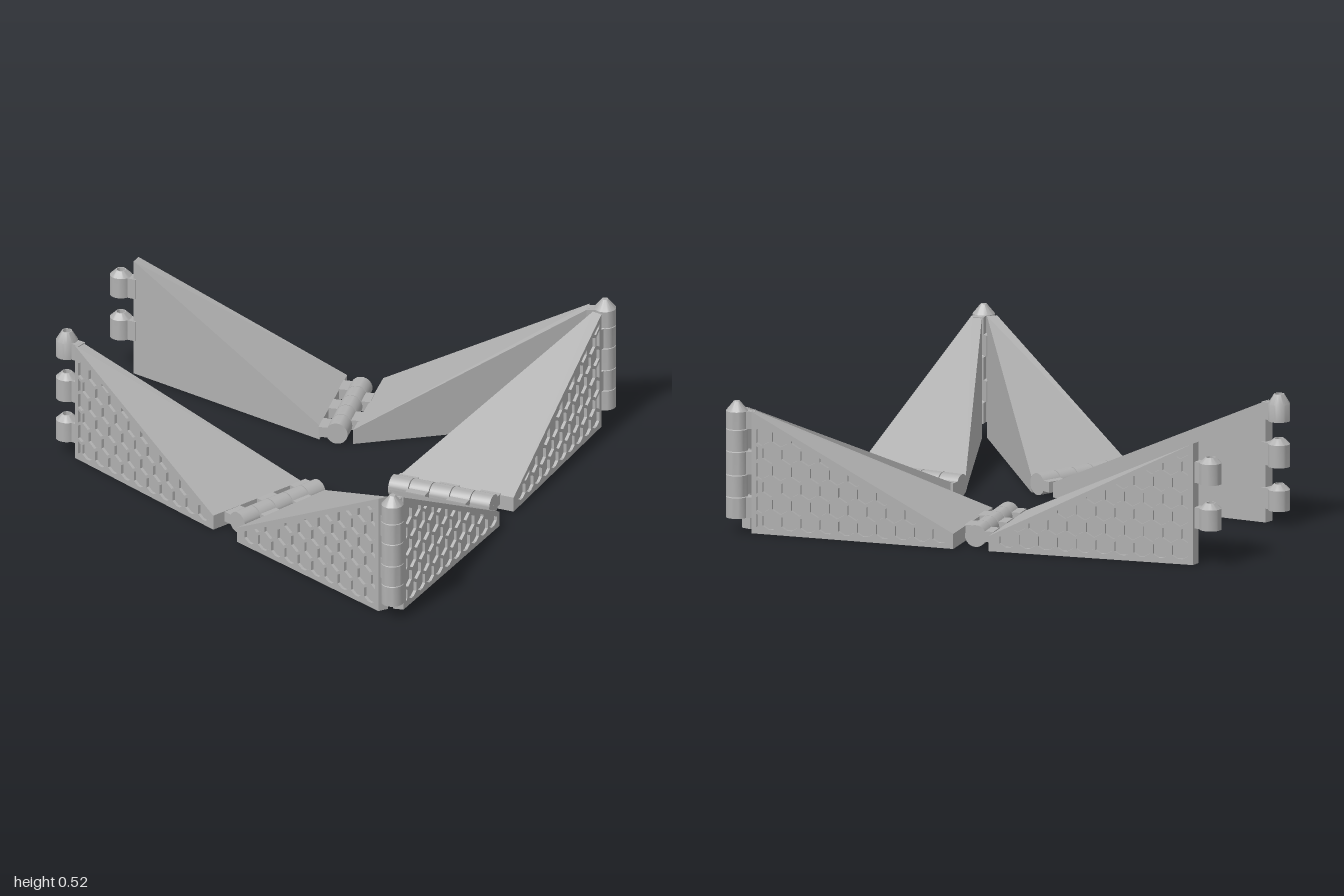
import * as THREE from 'three';
import { mergeGeometries, toCreasedNormals } from 'three/addons/utils/BufferGeometryUtils.js';

const grey = new THREE.MeshStandardMaterial({ color: 0xb0b0b0 });
grey.name = 'plain grey';

const V = (x, y, z) => new THREE.Vector3(x, y, z);
const R = 0.043, KNUCKLES = 5, TOP = 0.48, LOW = 0.06;

function fromTriangles(points) {
  const g = new THREE.BufferGeometry().setFromPoints(points);
  g.computeVertexNormals();
  return g;
}

// Put a four-sided face in outward order, keeping the first edge as its base
function orient([a, b, c, d], centre) {
  const n = b.clone().sub(a).cross(c.clone().sub(a));
  return n.dot(centre.clone().sub(a)) > 0 ? [b, a, d, c] : [a, b, c, d];
}

function plainFace(corners, centre) {
  const [a, b, c, d] = orient(corners, centre);
  return fromTriangles([a, b, c, a, c, d]);
}

// Keep the part of a polygon lying at least `margin` inside a convex outline
function clip(poly, outline, margin) {
  outline.forEach((p, i) => {
    const e = outline[(i + 1) % outline.length].clone().sub(p).normalize();
    const dist = q => e.x * (q.y - p.y) - e.y * (q.x - p.x) - margin;
    const out = [];
    poly.forEach((q, j) => {
      const r = poly[(j + 1) % poly.length], dq = dist(q), dr = dist(r);
      if (dq >= 0) out.push(q);
      if ((dq > 0 && dr < 0) || (dq < 0 && dr > 0)) out.push(q.clone().lerp(r, dq / (dq - dr)));
    });
    poly = out;
  });
  return poly;
}

// Face with a honeycomb of shallow pockets
function honeycombFace(corners, centre) {
  const pitch = 0.077, row = pitch * 0.866, radius = 0.0375, depth = 0.012;
  const [a, b, c, d] = orient(corners, centre);
  const U = b.clone().sub(a).normalize();
  const N = U.clone().cross(c.clone().sub(a)).normalize();
  const W = N.clone().cross(U);
  const outline = [a, b, c, d].map(p => {
    const q = p.clone().sub(a);
    return new THREE.Vector2(q.dot(U), q.dot(W));
  });
  const shape = new THREE.Shape(outline), pockets = [];
  for (let j = 0; j < 10; j++) {
    for (let i = -2; i < 18; i++) {
      const cx = (i + (j % 2) / 2) * pitch, cy = 0.052 + j * row;
      const hex = Array.from({ length: 6 }, (_, k) => {
        const t = Math.PI / 6 + k * Math.PI / 3;
        return new THREE.Vector2(cx + radius * Math.cos(t), cy + radius * Math.sin(t));
      });
      const cell = clip(hex, outline, 0.02);
      if (cell.length < 3 || THREE.ShapeUtils.area(cell) < 0.0003) continue;
      shape.holes.push(new THREE.Path(cell));
      const up = cell.map(p => V(p.x, p.y, 0)), down = cell.map(p => V(p.x, p.y, -depth));
      cell.forEach((_, k) => {
        const m = (k + 1) % cell.length;
        pockets.push(up[k], up[m], down[m], up[k], down[m], down[k]);
        if (k > 1) pockets.push(down[0], down[k - 1], down[k]);
      });
    }
  }
  const front = new THREE.ShapeGeometry(shape).toNonIndexed();
  front.deleteAttribute('uv');
  const g = mergeGeometries([front, fromTriangles(pockets)]);
  return g.applyMatrix4(new THREE.Matrix4().makeBasis(U, W, N).setPosition(a));
}

function addMesh(group, geometry, name) {
  const m = new THREE.Mesh(geometry, grey);
  m.name = name;
  group.add(m);
}

// Barrels and tabs along an axis; tabs reach towards the body
function hinge(base, axis, toBody, segments, parity, bore, coned, name) {
  const g = new THREE.Group();
  g.name = name;
  segments.forEach(([y0, y1], i) => {
    if (i % 2 !== parity) return;
    const end = i === segments.length - 1;
    const cone = coned ? (end ? 0.038 : 0.022) : 0;
    const tip = Math.max(bore, 0.008), inner = Math.max(bore, 0.0005);
    const profile = [[inner, y0], [R, y0], [R, y1]];
    if (coned) profile.push([tip + 0.004, y1 + cone]);
    profile.push([inner, y1 + cone], [inner, y0]);
    const lathe = new THREE.LatheGeometry(profile.map(p => new THREE.Vector2(...p)), 28);
    addMesh(g, toCreasedNormals(lathe, 0.6), 'knuckle');
    const tab = new THREE.BoxGeometry(0.045, y1 - y0, 0.042);
    tab.translate(0.0495, (y0 + y1) / 2, 0);
    addMesh(g, tab, 'knuckleTab');
  });
  const z = toBody.clone().cross(axis);
  g.applyMatrix4(new THREE.Matrix4().makeBasis(toBody, axis, z).setPosition(base));
  return g;
}

// One wedge: upright hinge at P, flat hinge edge from outer corner to inner corner
function wedge({ P, outer, inner, flat, flatParity, upParity, open }) {
  const g = new THREE.Group();
  const p = V(P[0], 0, P[1]), ho = V(outer[0], 0, outer[1]), hi = V(inner[0], 0, inner[1]);
  const u = p.clone().sub(ho.clone().add(hi).multiplyScalar(0.5)).normalize();
  const n = V(-u.z, 0, u.x);
  if (n.dot(ho.clone().sub(hi)) < 0) n.negate();
  const root = p.clone().addScaledVector(u, -0.06);
  const vo = root.clone().addScaledVector(n, 0.03), vi = root.clone().addScaledVector(n, -0.012);
  const at = (q, y) => V(q.x, y, q.z);
  const voT = at(vo, TOP), viT = at(vi, TOP), hoT = at(ho, LOW), hiT = at(hi, LOW);
  const centre = V(0, 0, 0);
  [vo, vi, ho, hi, voT, viT, hoT, hiT].forEach(q => centre.addScaledVector(q, 1 / 8));

  addMesh(g, honeycombFace([vo, ho, hoT, voT], centre), 'outerHoneycombFace');
  addMesh(g, honeycombFace([vo, ho, hi, vi], centre), 'bottomHoneycombFace');
  addMesh(g, plainFace([vi, hi, hiT, viT], centre), 'innerFace');
  addMesh(g, plainFace([voT, hoT, hiT, viT], centre), 'slopingFace');
  addMesh(g, plainFace([vo, vi, viT, voT], centre), 'uprightEdge');
  addMesh(g, plainFace([ho, hi, hiT, hoT], centre), 'flatEdge');

  // Upright hinge
  const up = [[0.058, 0.139], [0.143, 0.226], [0.23, 0.319], [0.323, 0.406], [0.41, 0.478]];
  g.add(hinge(p, V(0, 1, 0), u.clone().negate(), up, upParity, open ? 0.016 : 0, true, 'uprightHinge'));

  // Flat hinge
  const a = V(flat[0][0], R, flat[0][1]), b = V(flat[1][0], R, flat[1][1]);
  const axis = b.clone().sub(a), step = axis.length() / KNUCKLES;
  axis.normalize();
  const side = V(-axis.z, 0, axis.x);
  if (side.dot(centre.clone().sub(a)) < 0) side.negate();
  const segs = Array.from({ length: KNUCKLES }, (_, i) => [i * step + 0.002, (i + 1) * step - 0.002]);
  g.add(hinge(a, axis, side, segs, flatParity, 0, false, 'flatHinge'));
  return g;
}

export function createModel() {
  const model = new THREE.Group();
  model.name = 'hingedWedgeChain';
  const back = [[0.005, -0.835], [0.05, -0.41]];
  const right = [[0.83, -0.015], [0.4, -0.055]];
  const front = [[-0.055, 0.455], [0.145, 0.075]];
  const backPost = [0.955, -0.955], frontPost = [0.75, 0.948];
  const links = [
    { name: 'backRightWedge', P: [-0.95, -0.76], outer: [-0.07, -0.88], inner: [-0.025, -0.425], flat: back, flatParity: 0, upParity: 1, open: true },
    { name: 'backLeftWedge', P: backPost, outer: [0.07, -0.9], inner: [0.11, -0.43], flat: back, flatParity: 1, upParity: 0 },
    { name: 'leftBackWedge', P: backPost, outer: [0.89, -0.07], inner: [0.41, -0.11], flat: right, flatParity: 0, upParity: 1 },
    { name: 'leftFrontWedge', P: frontPost, outer: [0.88, 0.065], inner: [0.42, 0.02], flat: right, flatParity: 1, upParity: 0 },
    { name: 'frontLeftWedge', P: frontPost, outer: [-0.03, 0.53], inner: [0.18, 0.105], flat: front, flatParity: 1, upParity: 1 },
    { name: 'frontRightWedge', P: [-0.91, -0.01], outer: [-0.15, 0.46], inner: [0.07, 0.06], flat: front, flatParity: 0, upParity: 0, open: true },
  ];
  for (const link of links) {
    const w = wedge(link);
    w.name = link.name;
    model.add(w);
  }
  return model;
}
